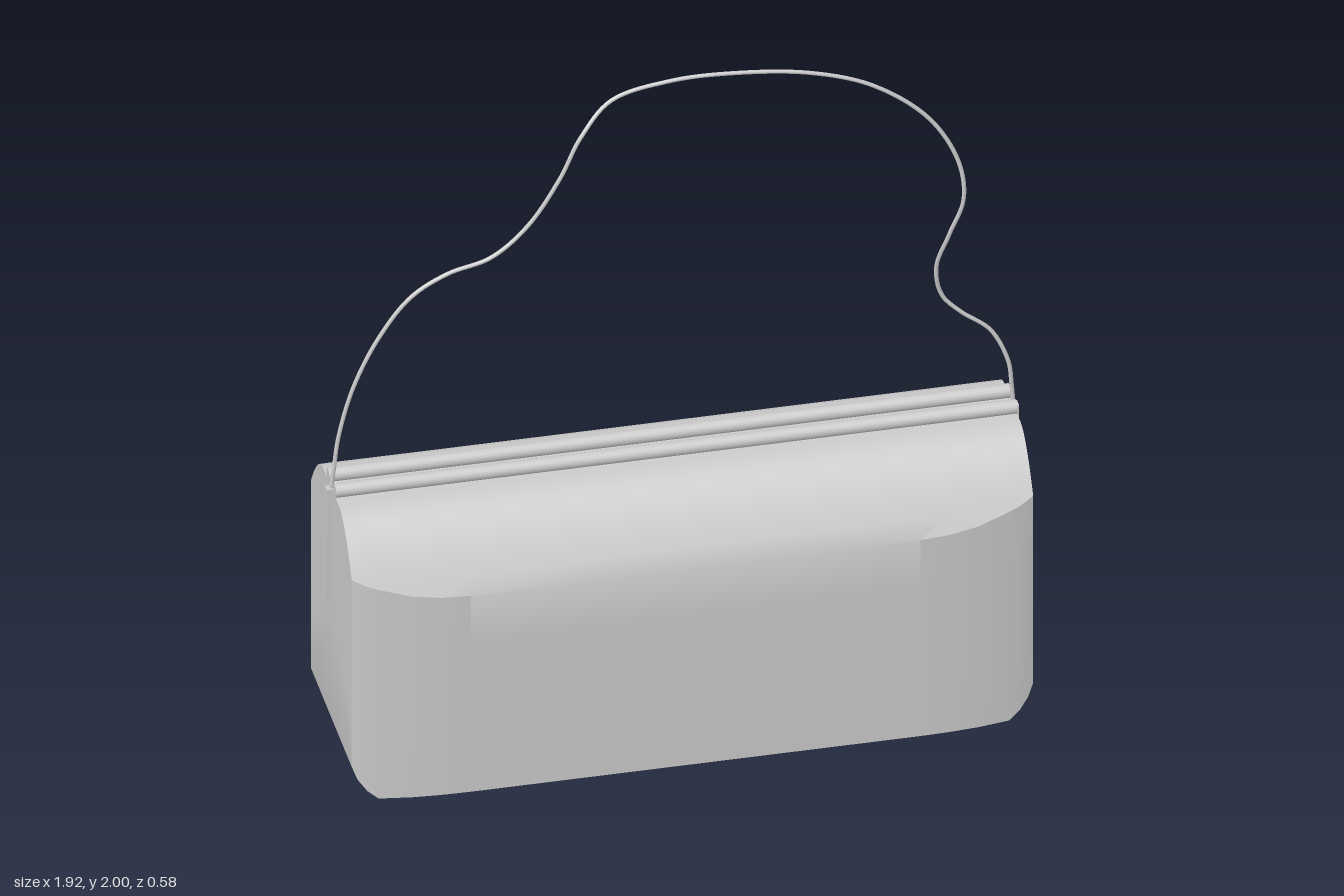
import * as THREE from 'three';
import { toCreasedNormals } from 'three/addons/utils/BufferGeometryUtils.js';

const grey = new THREE.MeshStandardMaterial({ color: 0xcccccc, side: THREE.DoubleSide });

function addMesh(parent, name, geometry) {
  const mesh = new THREE.Mesh(geometry, grey);
  mesh.name = name;
  parent.add(mesh);
  return mesh;
}

// Height of the rounded shoulder at a given distance from the middle
function shoulderHeight(z) {
  const t = Math.max(0, (z - 0.1) / 0.19);
  return 0.84 - 0.21 * Math.pow(t, 1.75);
}

// Closed cross-section at x: up the front, over the top, down the back
function bodyRing(x, halfDepth, bottom) {
  const half = [];
  const shoulder = shoulderHeight(halfDepth);
  for (let i = 0; i <= 4; i++) half.push([halfDepth, THREE.MathUtils.lerp(bottom, shoulder, i / 4)]);
  for (let i = 1; i <= 9; i++) {
    const z = THREE.MathUtils.lerp(halfDepth, 0.05, i / 9);
    half.push([z, shoulderHeight(z)]);
  }
  const back = half.map(([z, y]) => [-z, y]).reverse();
  return [...half, ...back].map(([z, y]) => [x, y, z]);
}

function bodyGeometry() {
  // x, half depth, bottom height
  const side = [
    [0.30, 0.29, 0], [0.62, 0.29, 0], [0.70, 0.288, 0], [0.78, 0.282, 0],
    [0.87, 0.268, 0], [0.90, 0.262, 0.025], [0.925, 0.255, 0.06], [0.94, 0.25, 0.1],
  ];
  const stations = [...side.map(([x, d, b]) => [-x, d, b]).reverse(), ...side];
  const rings = stations.map((s) => bodyRing(...s));
  const count = rings[0].length;
  const pos = [];
  const tri = (a, b, c) => pos.push(...a, ...b, ...c);
  for (let i = 0; i < rings.length - 1; i++) {
    for (let j = 0; j < count; j++) {
      const k = (j + 1) % count;
      tri(rings[i][j], rings[i + 1][j], rings[i + 1][k]);
      tri(rings[i][j], rings[i + 1][k], rings[i][k]);
    }
  }
  // Flat end panels
  const first = rings[0], last = rings[rings.length - 1];
  for (let j = 0; j < count; j++) {
    const k = (j + 1) % count;
    tri([-0.94, 0.45, 0], first[j], first[k]);
    tri([0.94, 0.45, 0], last[k], last[j]);
  }
  const geo = new THREE.BufferGeometry();
  geo.setAttribute('position', new THREE.Float32BufferAttribute(pos, 3));
  return toCreasedNormals(geo, 0.5);
}

export function createModel() {
  const bag = new THREE.Group();
  bag.name = 'handbag';

  addMesh(bag, 'body', bodyGeometry());

  // Pair of rounded bars forming the clasp
  for (const s of [-1, 1]) {
    const bar = addMesh(bag, s > 0 ? 'frontClaspBar' : 'backClaspBar',
      new THREE.CylinderGeometry(0.02, 0.02, 1.88, 20));
    bar.rotation.z = Math.PI / 2;
    bar.position.set(0, 0.855, s * 0.04);
  }

  // Strap tabs on the end panels
  for (const s of [-1, 1]) {
    const tab = addMesh(bag, s > 0 ? 'leftStrapTab' : 'rightStrapTab',
      new THREE.BoxGeometry(0.016, 0.36, 0.024));
    tab.position.set(s * 0.949, 0.66, 0);
    tab.rotation.z = s * 0.014;
  }

  // Thin loose strap
  const path = [
    [-0.943, 0.82, 0], [-0.933, 0.9, 0], [-0.92, 1.0, 0], [-0.88, 1.15, 0], [-0.81, 1.3, 0],
    [-0.72, 1.42, 0], [-0.62, 1.48, 0], [-0.5, 1.515, 0], [-0.4, 1.6, 0],
    [-0.31, 1.74, 0], [-0.25, 1.86, -0.008], [-0.16, 1.945, -0.04], [0, 1.985, -0.04],
    [0.17, 1.994, -0.028], [0.38, 1.978, -0.008], [0.55, 1.925, 0.01], [0.7, 1.81, 0.025],
    [0.78, 1.67, 0.037], [0.795, 1.55, 0.045], [0.76, 1.42, 0.02], [0.732, 1.3, -0.012],
    [0.75, 1.2, -0.022], [0.8, 1.145, -0.015], [0.88, 1.08, -0.008], [0.927, 0.98, 0],
    [0.937, 0.9, 0], [0.943, 0.82, 0],
  ].map((p) => new THREE.Vector3(...p));
  addMesh(bag, 'strap', new THREE.TubeGeometry(new THREE.CatmullRomCurve3(path), 200, 0.006, 8));

  return bag;
}
